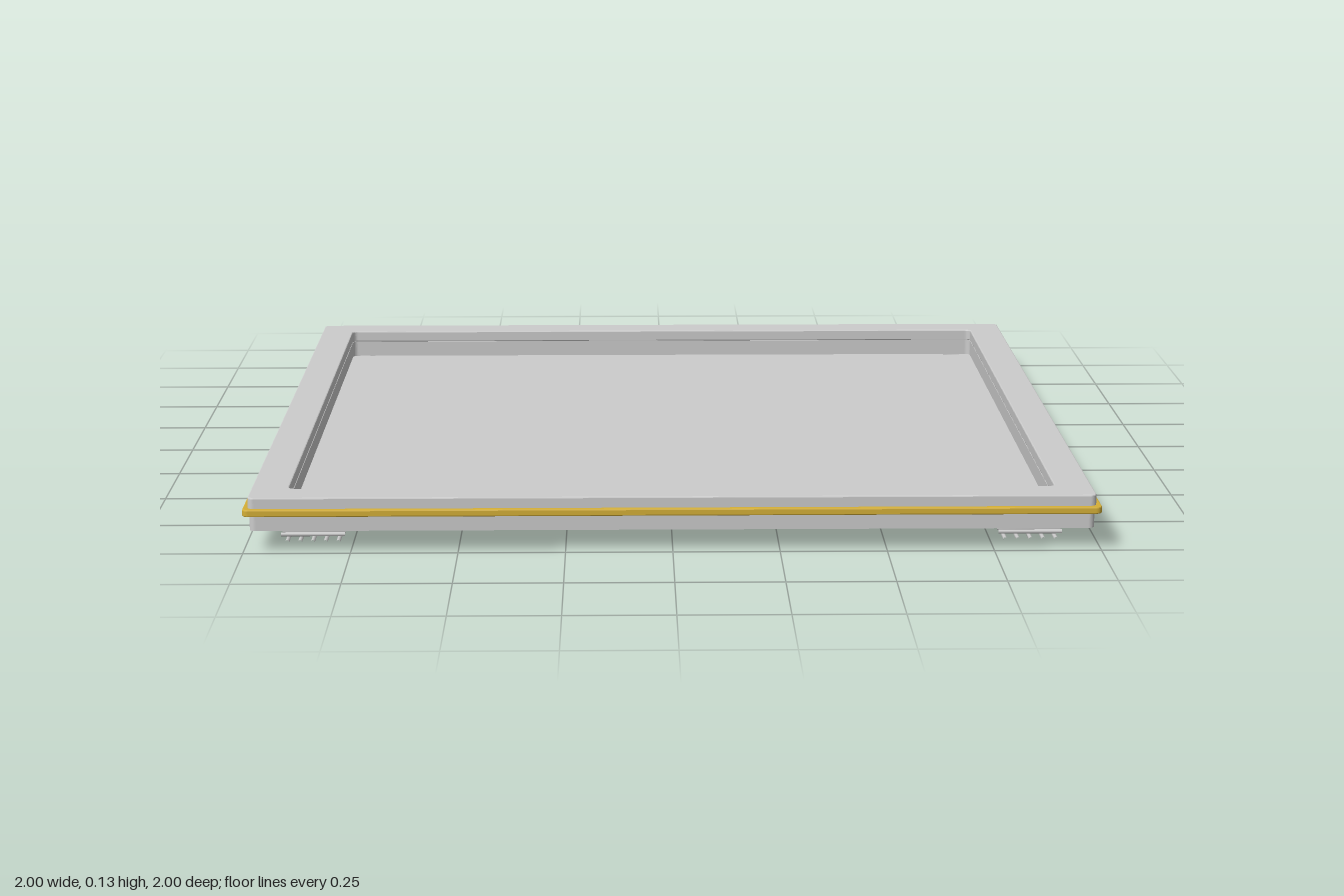
import * as THREE from 'three';

const grey = new THREE.MeshStandardMaterial({ color: 0xcccccc });
const gold = new THREE.MeshStandardMaterial({ color: 0xd4af37 });

// Square outline with rounded corners
function roundedSquare(half, r, Type = THREE.Shape) {
  const s = new Type(), c = half - r;
  s.absarc(c, c, r, 0, Math.PI / 2);
  s.absarc(-c, c, r, Math.PI / 2, Math.PI);
  s.absarc(-c, -c, r, Math.PI, Math.PI * 1.5);
  s.absarc(c, -c, r, Math.PI * 1.5, Math.PI * 2);
  s.closePath();
  return s;
}

// Lays a plan shape (shape y = world z) flat between two heights
function slab(name, shape, bottom, top, material, bevel = 0) {
  const geo = new THREE.ExtrudeGeometry(shape, {
    depth: top - bottom - 2 * bevel, curveSegments: 5,
    bevelEnabled: bevel > 0, bevelThickness: bevel, bevelSize: bevel,
    bevelOffset: -bevel, bevelSegments: 2,
  });
  geo.rotateX(Math.PI / 2);
  const mesh = new THREE.Mesh(geo, material);
  mesh.name = name;
  mesh.position.y = top - bevel;
  return mesh;
}

function frame(outer, outerR, inner, innerR) {
  const s = roundedSquare(outer, outerR);
  s.holes.push(roundedSquare(inner, innerR, THREE.Path));
  return s;
}

// Grating of two crossed layers of open rods
function drainGrate(x, z) {
  const grate = new THREE.Group();
  grate.name = 'drainGrate';
  const rod = new THREE.CylinderGeometry(0.005, 0.005, 0.15, 8, 1, true);
  for (let i = -2; i <= 2; i++) {
    const across = new THREE.Mesh(rod, grey);
    across.name = 'crossRod';
    across.rotation.z = Math.PI / 2;
    across.position.set(0, 0.02, i * 0.03);
    const along = new THREE.Mesh(rod, grey);
    along.name = 'lengthRod';
    along.rotation.x = Math.PI / 2;
    along.position.set(i * 0.03, 0.005, 0);
    grate.add(across, along);
  }
  grate.position.set(x, 0, z);
  return grate;
}

export function createModel() {
  const tray = new THREE.Group();
  tray.name = 'tray';
  const c = 0.845, deg = Math.PI / 180;

  // Floor, with half-round drain openings in front and slim ones behind
  const floor = roundedSquare(0.985, 0.015);
  const cut = (x, z, from, to) => {
    const hole = new THREE.Path();
    hole.absarc(x, z, 0.055, from * deg, to * deg);
    hole.closePath();
    floor.holes.push(hole);
  };
  cut(-c, c, -45, 135);
  cut(c, c, 45, 225);
  for (const x of [-c, c]) cut(x, -c, 243, 297);
  tray.add(slab('floor', floor, 0.05, 0.058, grey));

  // Side walls, raised rim and trim band
  tray.add(slab('wall', frame(0.985, 0.015, 0.9, 0.015), 0.058, 0.1, grey));
  tray.add(slab('rim', frame(0.988, 0.015, 0.9, 0.015), 0.1, 0.13, grey, 0.003));
  tray.add(slab('trimBand', frame(1, 0.015, 0.975, 0.01), 0.087, 0.104, gold, 0.003));

  // Grates under the four corners
  for (const x of [-c, c]) for (const z of [-c, c]) tray.add(drainGrate(x, z));
  return tray;
}
